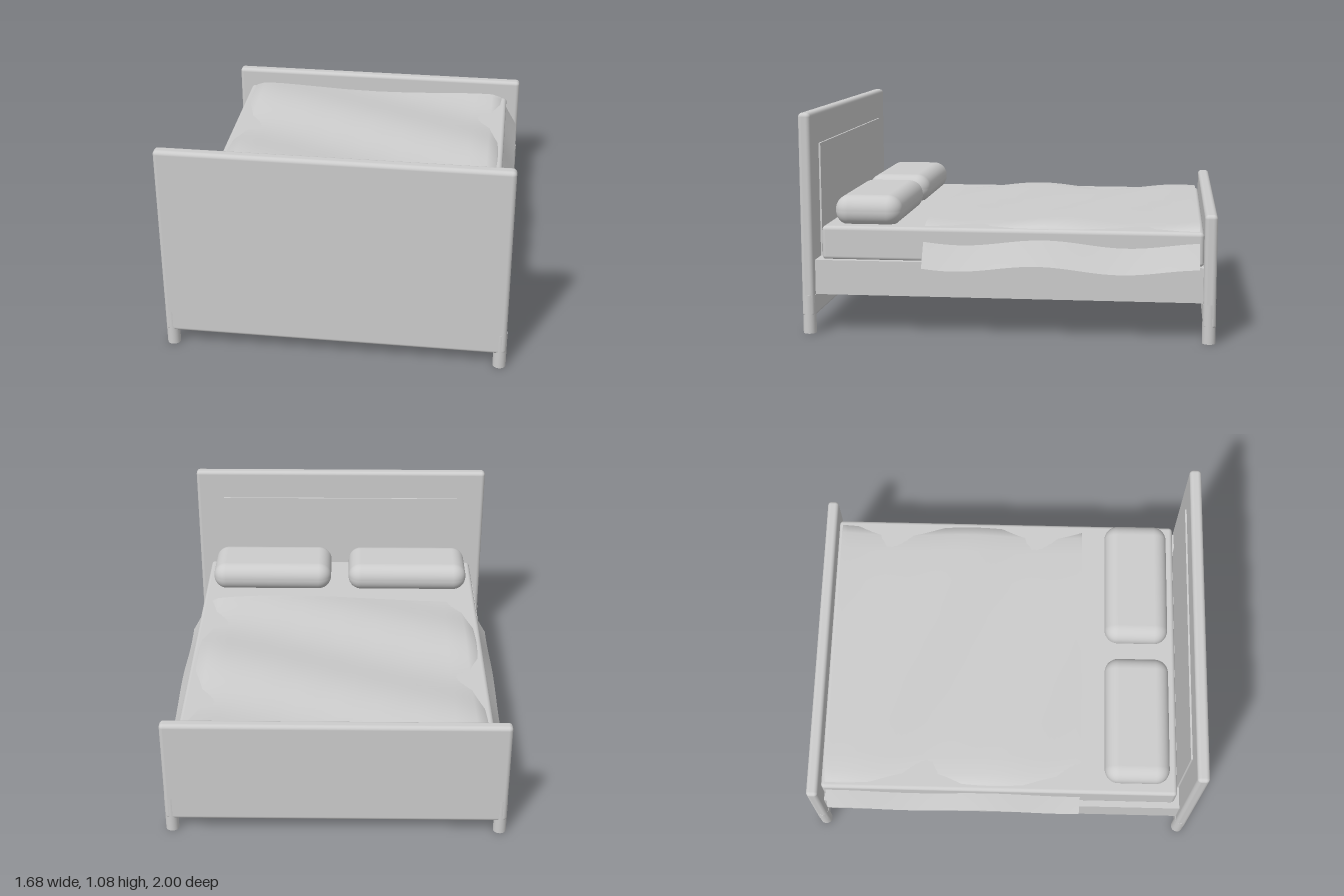
import * as THREE from 'three';
import { RoundedBoxGeometry } from 'three/addons/geometries/RoundedBoxGeometry.js';

export function createModel() {
  const bed = new THREE.Group();
  bed.name = 'bed';
  const grey = new THREE.MeshStandardMaterial({ color: 0xcccccc, side: THREE.DoubleSide });
  grey.name = 'light grey';

  const add = (name, geometry, x, y, z) => {
    const mesh = new THREE.Mesh(geometry, grey);
    mesh.name = name;
    mesh.position.set(x, y, z);
    bed.add(mesh);
    return mesh;
  };
  // box given by its lower and upper limits, with rounded edges where r > 0
  const box = (name, [x0, x1], [y0, y1], [z0, z1], r = 0, seg = 4) => {
    const size = [x1 - x0, y1 - y0, z1 - z0];
    const g = r ? new RoundedBoxGeometry(...size, seg, r) : new THREE.BoxGeometry(...size);
    return add(name, g, (x0 + x1) / 2, (y0 + y1) / 2, (z0 + z1) / 2);
  };

  // end boards and the raised panel facing the pillows
  box('headboard', [-0.835, 0.835], [0.08, 1.08], [0.94, 1], 0.02);
  box('footboard', [-0.835, 0.835], [0.07, 0.62], [-1, -0.94], 0.02);
  box('headboardPanel', [-0.68, 0.68], [0.36, 0.92], [0.931, 0.942]);

  // bed base with side rails
  box('base', [-0.795, 0.795], [0.19, 0.36], [-0.95, 0.95]);

  // round legs, slightly thicker than the boards
  for (const x of [-0.806, 0.806]) {
    for (const z of [-0.969, 0.969]) {
      add('leg', new THREE.CylinderGeometry(0.032, 0.032, 0.19, 24), x, 0.095, z);
    }
  }

  // mattress
  box('mattress', [-0.765, 0.765], [0.355, 0.523], [-0.94, 0.912], 0.02);

  // pillows: edges bulge a little along the length
  for (const side of [-1, 1]) {
    const pillow = box('pillow', [-0.335, 0.335], [0.512, 0.664], [0.53, 0.865], 0.072, 8);
    pillow.position.x = side * 0.385;
  }

  // blanket: cross-section from centre to hanging edge, rippled diagonally
  const half = [[0, 0.542], [0.2, 0.542], [0.4, 0.542], [0.58, 0.54], [0.68, 0.535],
    [0.73, 0.518], [0.755, 0.48], [0.77, 0.445], [0.83, 0.34]];
  const section = [...half.slice(1).reverse().map(([x, y]) => [-x, y]), ...half];
  const rows = 48;
  const positions = [];
  const indices = [];
  for (let j = 0; j <= rows; j++) {
    const z = -0.92 + (1.33 * j) / rows;
    for (const [x, y] of section) {
      const wave = 0.016 * Math.cos((2 * Math.PI * (z - 0.45 * x + 0.52)) / 0.8);
      positions.push(x, y + wave, z);
    }
  }
  const n = section.length;
  for (let j = 0; j < rows; j++) {
    for (let i = 0; i < n - 1; i++) {
      const a = j * n + i;
      indices.push(a, a + n, a + 1, a + 1, a + n, a + n + 1);
    }
  }
  const blanket = new THREE.BufferGeometry();
  blanket.setAttribute('position', new THREE.Float32BufferAttribute(positions, 3));
  blanket.setIndex(indices);
  blanket.computeVertexNormals();
  add('blanket', blanket, 0, 0, 0);

  return bed;
}
